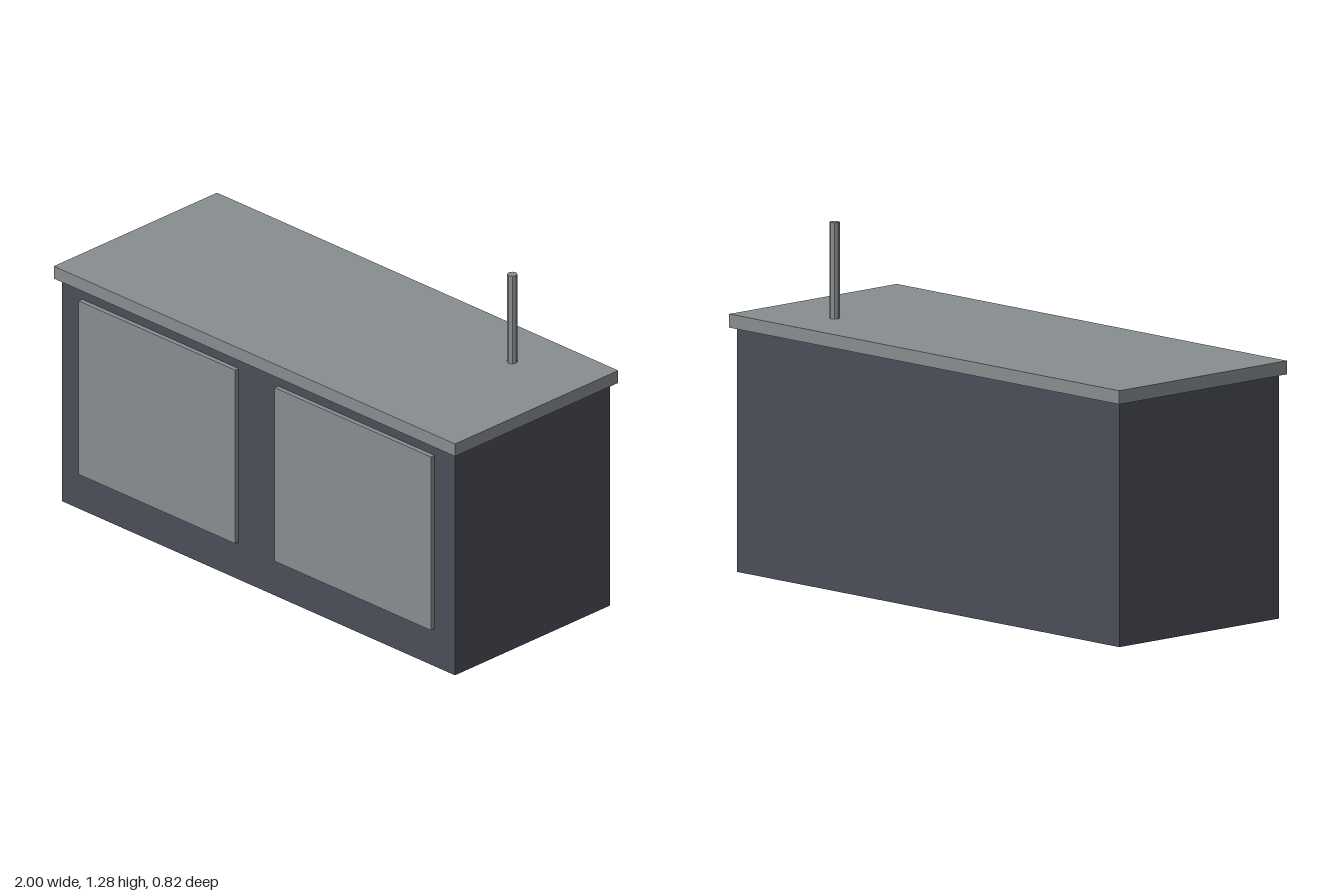
import * as THREE from 'three';

export function createModel() {
  const group = new THREE.Group();
  const grey = new THREE.MeshStandardMaterial({ color: 0x888d8f });
  grey.name = 'stone grey';
  const slate = new THREE.MeshStandardMaterial({ color: 0x4a4e58 });
  slate.name = 'dark slate';
  grey.flatShading = true;

  const add = (name, geometry, material, x, y, z) => {
    const mesh = new THREE.Mesh(geometry, material);
    mesh.name = name;
    mesh.position.set(x, y, z);
    group.add(mesh);
  };

  // Cabinet body and overhanging worktop
  add('cabinetBody', new THREE.BoxGeometry(1.96, 0.88, 0.78), slate, 0, 0.44, 0);
  add('worktop', new THREE.BoxGeometry(2, 0.049, 0.82), grey, 0, 0.9045, 0);

  // Pair of front doors, standing slightly proud of the body
  for (const side of [-1, 1]) {
    const name = side > 0 ? 'leftDoor' : 'rightDoor';
    add(name, new THREE.BoxGeometry(0.78, 0.686, 0.02), grey, side * 0.488, 0.491, 0.398);
  }

  // Upright faucet post near the back of the worktop
  add('faucetPost', new THREE.CylinderGeometry(0.0185, 0.0185, 0.348, 8), grey, 0.685, 1.102, -0.195);

  return group;
}
